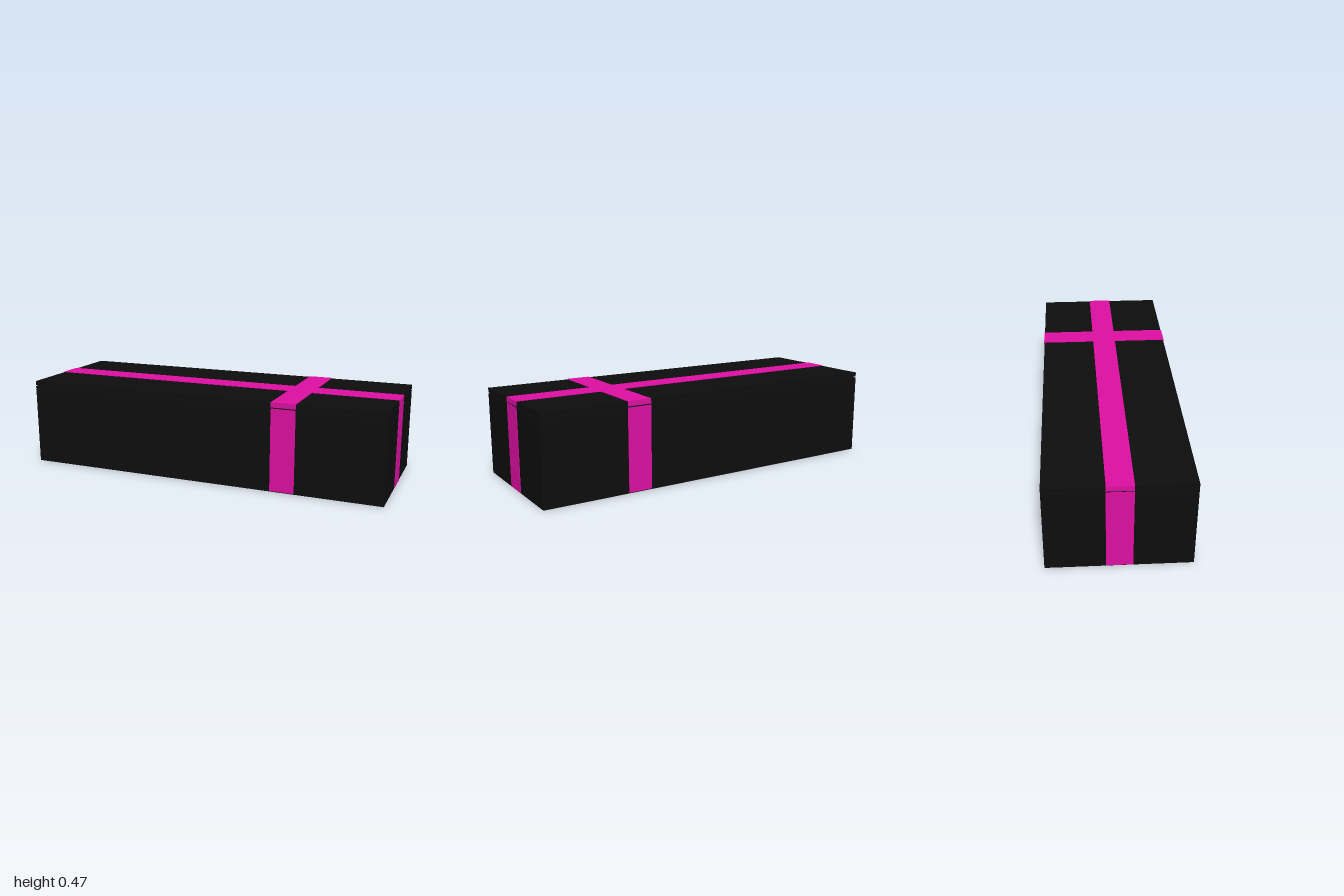
import * as THREE from 'three';

export function createModel() {
  const group = new THREE.Group();
  const black = new THREE.MeshStandardMaterial({ color: 0x0d0d0d });
  const pink = new THREE.MeshStandardMaterial({ color: 0xdb0fa0 });

  const X = 0.997, Z = 0.355;        // half sizes of the box
  const T = 0.003;                   // ribbon thickness
  const W = 0.13, CX = 0.475;        // ribbon width, crossing position
  const TOP = 0.47;                  // top of the lid

  // Block between two corners
  function block(name, mat, x0, x1, y0, y1, z0, z1) {
    const mesh = new THREE.Mesh(new THREE.BoxGeometry(x1 - x0, y1 - y0, z1 - z0), mat);
    mesh.position.set((x0 + x1) / 2, (y0 + y1) / 2, (z0 + z1) / 2);
    mesh.name = name;
    group.add(mesh);
  }

  // Box and lid, separated by a narrow gap
  block('boxBody', black, -X, X, 0, 0.44, -Z, Z);
  block('lid', black, -X, X, 0.446, TOP, -Z, Z);

  // Upright ribbon strips on all four sides, split at the gap
  for (const [part, y0, y1] of [['body', 0.004, 0.44], ['lid', 0.446, TOP]]) {
    block(part + 'RibbonFront', pink, CX - W / 2, CX + W / 2, y0, y1, Z, Z + T);
    block(part + 'RibbonBack', pink, CX - W / 2, CX + W / 2, y0, y1, -Z - T, -Z);
    block(part + 'RibbonLeft', pink, X, X + T, y0, y1, -W / 2, W / 2);
    block(part + 'RibbonRight', pink, -X - T, -X, y0, y1, -W / 2, W / 2);
  }

  // Ribbon cross lying on the lid
  const a = CX - W / 2, b = CX + W / 2, h = W / 2, ex = X + T, ez = Z + T;
  const cross = new THREE.Shape([
    [-ex, -h], [a, -h], [a, -ez], [b, -ez], [b, -h], [ex, -h],
    [ex, h], [b, h], [b, ez], [a, ez], [a, h], [-ex, h],
  ].map(([x, y]) => new THREE.Vector2(x, y)));
  const crossGeo = new THREE.ExtrudeGeometry(cross, { depth: T, bevelEnabled: false });
  crossGeo.rotateX(-Math.PI / 2);
  const top = new THREE.Mesh(crossGeo, pink);
  top.position.y = TOP;
  top.name = 'lidRibbonCross';
  group.add(top);

  return group;
}
